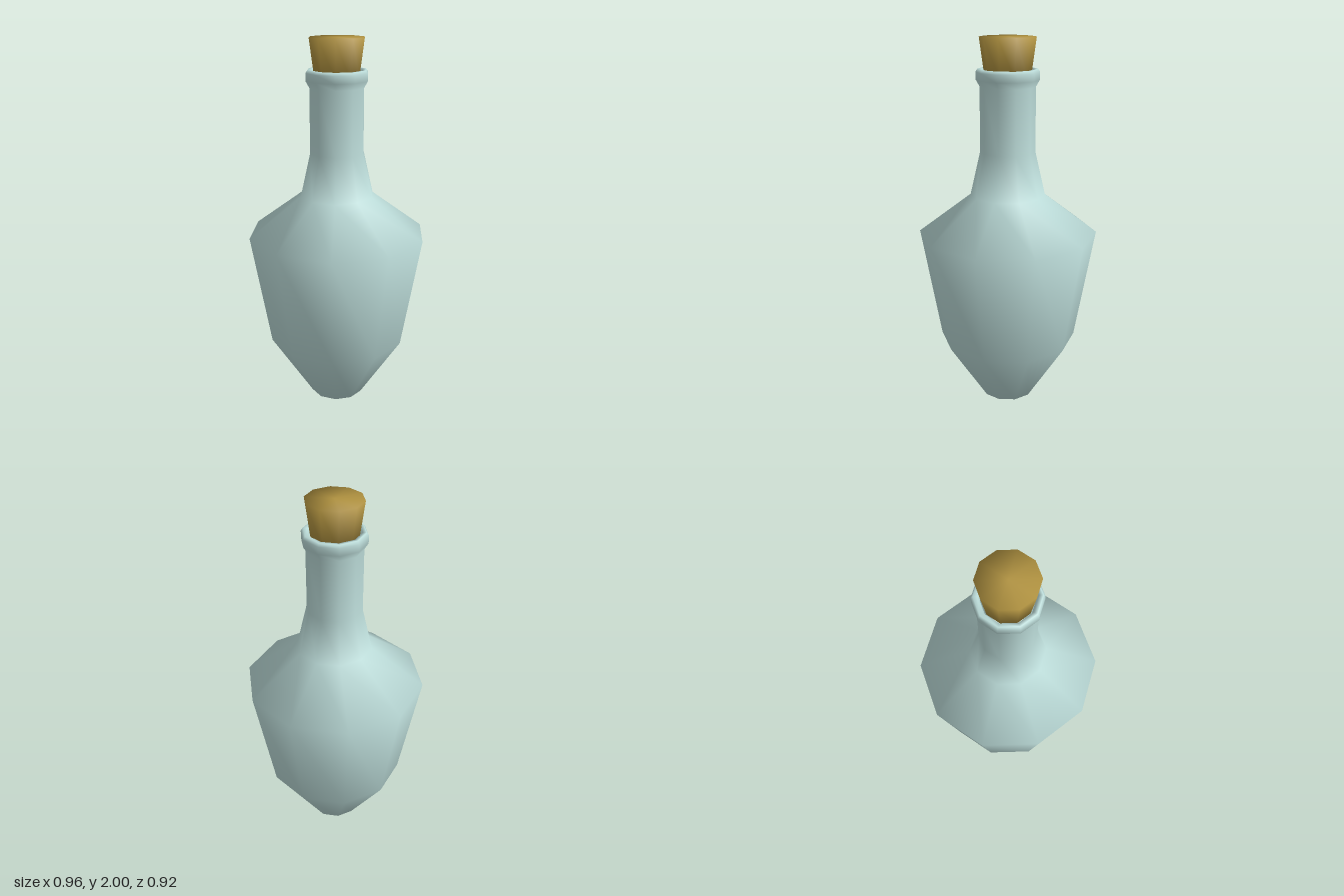
import * as THREE from 'three';

const SIDES = 10;

// Ten-sided turned part with a corner on the x axis; profile runs bottom to top as [radius, height]
function turned(name, profile, material) {
  const points = profile.map(([r, y]) => new THREE.Vector2(r, y));
  const mesh = new THREE.Mesh(new THREE.LatheGeometry(points, SIDES, Math.PI / 2), material);
  mesh.name = name;
  return mesh;
}

export function createModel() {
  const glass = new THREE.MeshStandardMaterial({ color: 0xbcdcd9 });
  glass.name = 'pale glass';
  const corkBrown = new THREE.MeshStandardMaterial({ color: 0xb09240 });
  corkBrown.name = 'cork brown';

  const group = new THREE.Group();
  group.name = 'corkedBottle';

  // Bottle: base, belly, shoulder, neck, rolled lip and the start of the mouth
  group.add(turned('bottle', [
    [0, 0], [0.146, 0], [0.375, 0.353], [0.482, 0.965], [0.2, 1.176],
    [0.146, 1.41], [0.146, 1.75], [0.166, 1.785], [0.166, 1.825],
    [0.156, 1.84], [0.136, 1.838], [0.126, 1.8],
  ], glass));

  // Tapered stopper, pushed a little way into the mouth
  group.add(turned('cork', [
    [0, 1.8], [0.12, 1.8], [0.147, 2], [0, 2],
  ], corkBrown));

  return group;
}
